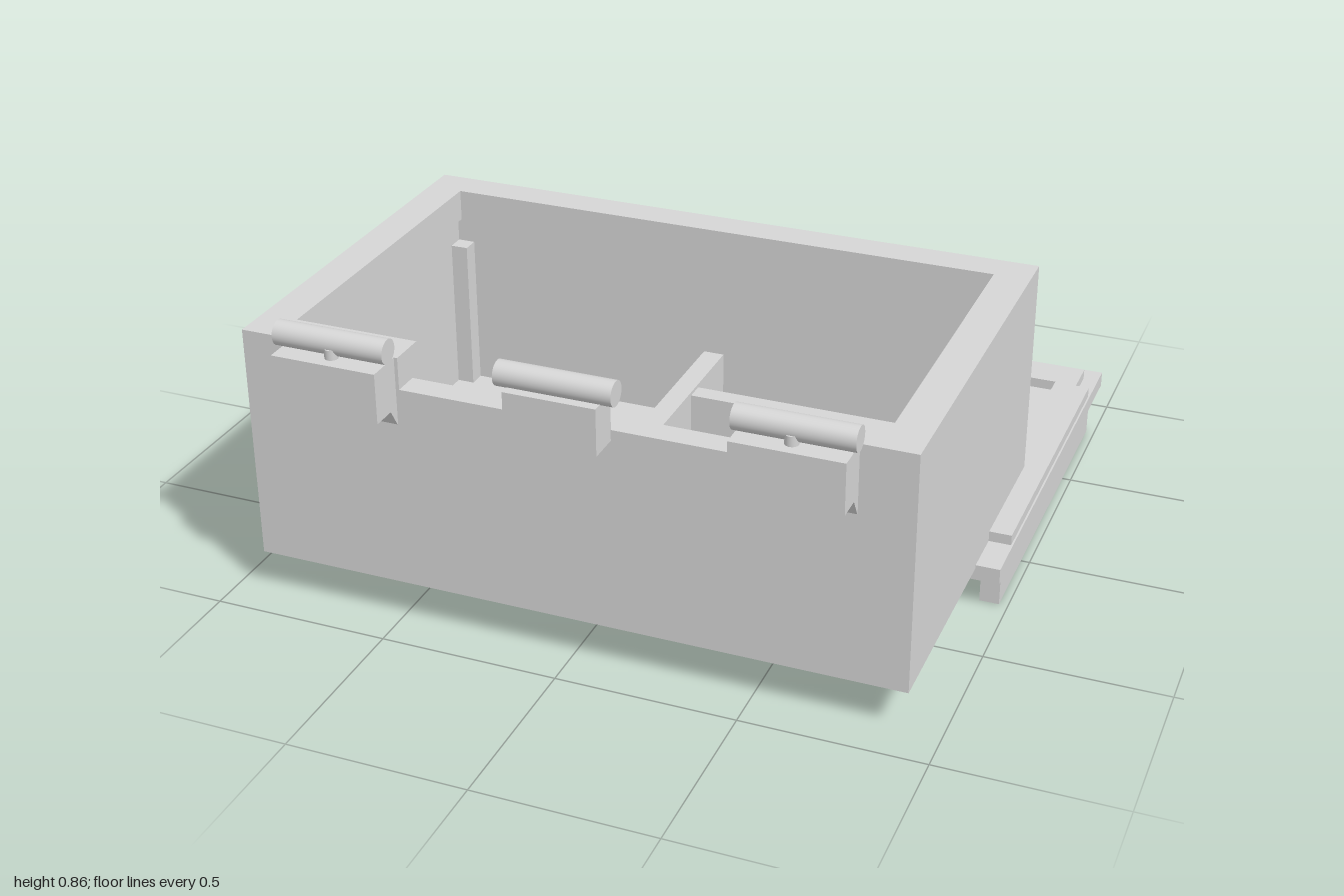
import * as THREE from 'three';

const grey = new THREE.MeshStandardMaterial({ color: 0xd6d6d6 });
grey.name = 'light grey plastic';

export function createModel() {
  const model = new THREE.Group();
  const body = new THREE.Group();
  const lid = new THREE.Group();
  body.name = 'body';
  lid.name = 'lid';
  model.add(body, lid);

  const add = (parent, name, geometry) => {
    const mesh = new THREE.Mesh(geometry, grey);
    mesh.name = name;
    parent.add(mesh);
  };
  // Box from its limits along each axis
  const box = (parent, name, x0, x1, y0, y1, z0, z1) =>
    add(parent, name, new THREE.BoxGeometry(x1 - x0, y1 - y0, z1 - z0)
      .translate((x0 + x1) / 2, (y0 + y1) / 2, (z0 + z1) / 2));
  // Horizontal slab from an [x, z] outline with an optional hole, wound the opposite way
  const slab = (parent, name, outline, y0, y1, hole) => {
    const points = (list) => list.map(([x, z]) => new THREE.Vector2(x, -z));
    const shape = new THREE.Shape(points(outline));
    if (hole) shape.holes.push(new THREE.Path(points(hole).reverse()));
    add(parent, name, new THREE.ExtrudeGeometry(shape, { depth: y1 - y0, bevelEnabled: false })
      .rotateX(-Math.PI / 2).translate(0, y0, 0));
  };
  const rect = (x, z0, z1) => [[-x, z0], [x, z0], [x, z1], [-x, z1]];
  // Round bar lying along x
  const bar = (parent, name, x0, x1, y, z, r) =>
    add(parent, name, new THREE.CylinderGeometry(r, r, x1 - x0, 32)
      .rotateZ(Math.PI / 2).translate((x0 + x1) / 2, y, z));
  // Mirrored pair of boxes
  const pair = (parent, name, x0, x1, y0, y1, z0, z1) => {
    box(parent, name + 'Left', x0, x1, y0, y1, z0, z1);
    box(parent, name + 'Right', -x1, -x0, y0, y1, z0, z1);
  };

  // Container: floor, walls and overhanging rim, open at the front notch
  box(body, 'floor', -0.912, 0.912, 0.12, 0.17, -0.248, 0.897);
  slab(body, 'walls', rect(0.912, -0.248, 0.897), 0.17, 0.7, rect(0.835, -0.175, 0.825));
  slab(body, 'rim', [
    [-0.912, -0.248], [0.912, -0.248], [0.912, 0.897], [0.46, 0.897], [0.46, 0.793], [0.81, 0.793],
    [0.81, -0.15], [-0.81, -0.15], [-0.81, 0.793], [-0.46, 0.793], [-0.46, 0.897], [-0.912, 0.897],
  ], 0.7, 0.79);

  // Corner posts
  for (const z of [-0.175, 0.775]) pair(body, 'cornerPost', 0.785, 0.835, 0.17, 0.62, z, z + 0.05);

  // Inner dividers
  box(body, 'divider', -0.03, 0.03, 0.17, 0.41, -0.135, 0.72);
  box(body, 'dividerArmLeft', 0.03, 0.615, 0.17, 0.4, 0.066, 0.12);
  box(body, 'dividerArmRight', -0.615, -0.03, 0.17, 0.4, 0.42, 0.474);

  // Side catches, sloped underneath, each with a bar on a small pin
  const profile = [[0.89, 0.6], [0.9, 0.6], [0.93, 0.65], [1, 0.65], [1, 0.79], [0.89, 0.79]];
  for (const s of [1, -1]) {
    const side = s > 0 ? 'Left' : 'Right';
    const shape = new THREE.Shape(profile.map(([z, y]) => new THREE.Vector2(-z, y)));
    add(body, 'catch' + side, new THREE.ExtrudeGeometry(shape, { depth: 0.295, bevelEnabled: false })
      .rotateY(Math.PI / 2).translate(s * 0.617 - 0.1475, 0, 0));
    bar(body, 'catchBar' + side, s * 0.62 - 0.157, s * 0.62 + 0.157, 0.825, 0.935, 0.034);
    add(body, 'barPin' + side, new THREE.CylinderGeometry(0.018, 0.018, 0.035, 24)
      .translate(s * 0.615, 0.8, 0.955));
  }
  // Central latch
  box(body, 'latchPlate', -0.125, 0.125, 0.67, 0.8, 0.895, 0.985);
  bar(body, 'latchBar', -0.158, 0.158, 0.825, 0.935, 0.034);

  // Lid plate with raised frame
  box(lid, 'plate', -0.98, 0.98, 0.085, 0.13, -0.975, 0.275);
  slab(lid, 'raisedFrame', [
    [-0.935, -0.915], [0.935, -0.915], [0.935, -0.8], [0.975, -0.8], [0.975, 0.14], [0.87, 0.14],
    [0.87, -0.803], [-0.87, -0.803], [-0.87, 0.14], [-0.975, 0.14], [-0.975, -0.8], [-0.935, -0.8],
  ], 0.13, 0.16);
  for (const x of [-0.685, 0.685])
    add(lid, 'peg', new THREE.CylinderGeometry(0.021, 0.021, 0.03, 24).translate(x, 0.17, -0.86));

  // Skirts and rib under the lid
  pair(lid, 'sideSkirt', 0.92, 0.975, 0, 0.09, -0.82, 0.24);
  box(lid, 'backSkirt', -0.89, 0.89, 0, 0.09, -0.91, -0.86);
  box(lid, 'underRib', -0.07, 0.07, 0.03, 0.09, -0.75, -0.08);

  // Lid hinge bar on two lugs
  bar(lid, 'hingeBar', -0.267, 0.267, 0.063, -0.968, 0.032);
  pair(lid, 'hingeLug', 0.18, 0.245, 0.01, 0.09, -0.97, -0.9);

  // Front tabs and hook bar
  pair(lid, 'tab', 0.17, 0.75, 0.062, 0.121, 0.24, 0.41);
  pair(lid, 'hook', 0.23, 0.38, 0.038, 0.065, 0.24, 0.32);
  box(lid, 'hookBarStem', -0.38, 0.38, 0.038, 0.09, 0.24, 0.275);
  box(lid, 'hookBar', -0.38, 0.38, 0.012, 0.038, 0.24, 0.305);

  return model;
}
